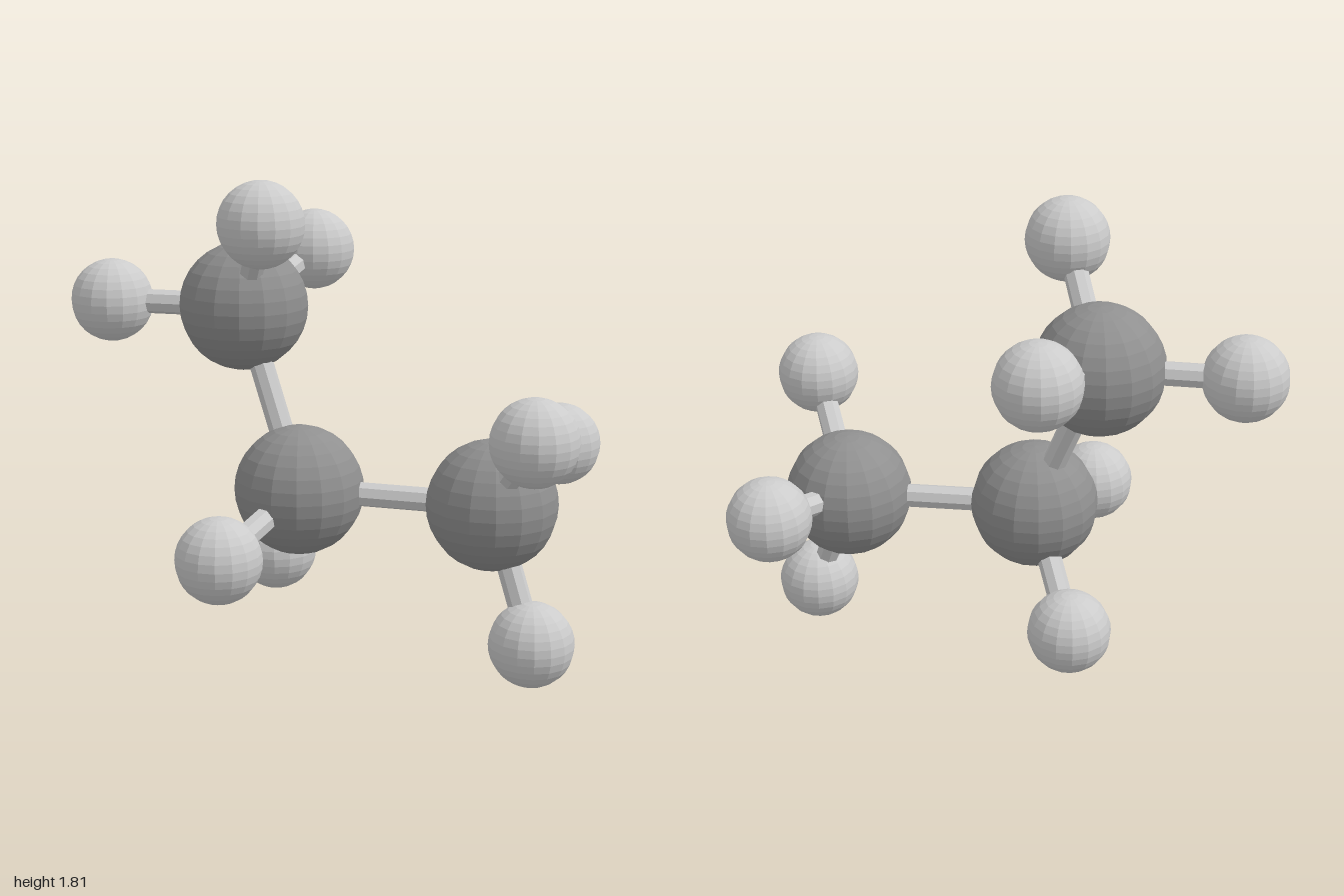
import * as THREE from 'three';

export function createModel() {
  const model = new THREE.Group();
  const dark = new THREE.MeshStandardMaterial({ color: 0x909090, flatShading: true });
  const light = new THREE.MeshStandardMaterial({ color: 0xcccccc, flatShading: true });
  const largeBall = new THREE.SphereGeometry(0.242, 16, 16).rotateY(Math.PI / 16);
  const smallBall = new THREE.SphereGeometry(0.157, 16, 16).rotateY(Math.PI / 16);
  const up = new THREE.Vector3(0, 1, 0);

  function addBall(name, geometry, material, position) {
    const ball = new THREE.Mesh(geometry, material);
    ball.name = name;
    ball.position.copy(position);
    model.add(ball);
  }

  // Rod running between two ball centres
  function addRod(name, a, b, material) {
    const along = b.clone().sub(a);
    const rod = new THREE.Mesh(new THREE.CylinderGeometry(0.046, 0.046, along.length(), 8), material);
    rod.name = name;
    rod.position.copy(a).lerp(b, 0.5);
    rod.quaternion.setFromUnitVectors(up, along.normalize());
    model.add(rod);
  }

  // Chain of three large balls, each with its attached small balls
  const chain = [
    { at: [-0.325, 1.305, -0.08], small: [[-0.845, 1.305, -0.085], [-0.165, 1.66, 0.265], [-0.165, 1.455, -0.553]] },
    { at: [-0.073, 0.65, 0.082], small: [[-0.25, 0.508, 0.555], [-0.25, 0.303, -0.257]] },
    { at: [0.65, 0.638, 0.085], small: [[0.84, 0.97, 0.44], [0.84, 0.763, -0.378], [0.82, 0.16, 0.21]] },
  ];

  let previous = null;
  chain.forEach(({ at, small }, i) => {
    const centre = new THREE.Vector3(...at);
    addBall(`carbonBall${i + 1}`, largeBall, dark, centre);
    if (previous) addRod(`chainBond${i}`, previous, centre, light);
    small.forEach((p, j) => {
      const end = new THREE.Vector3(...p);
      addBall(`hydrogenBall${i + 1}_${j + 1}`, smallBall, light, end);
      addRod(`hydrogenBond${i + 1}_${j + 1}`, centre, end, light);
    });
    previous = centre;
  });

  return model;
}
